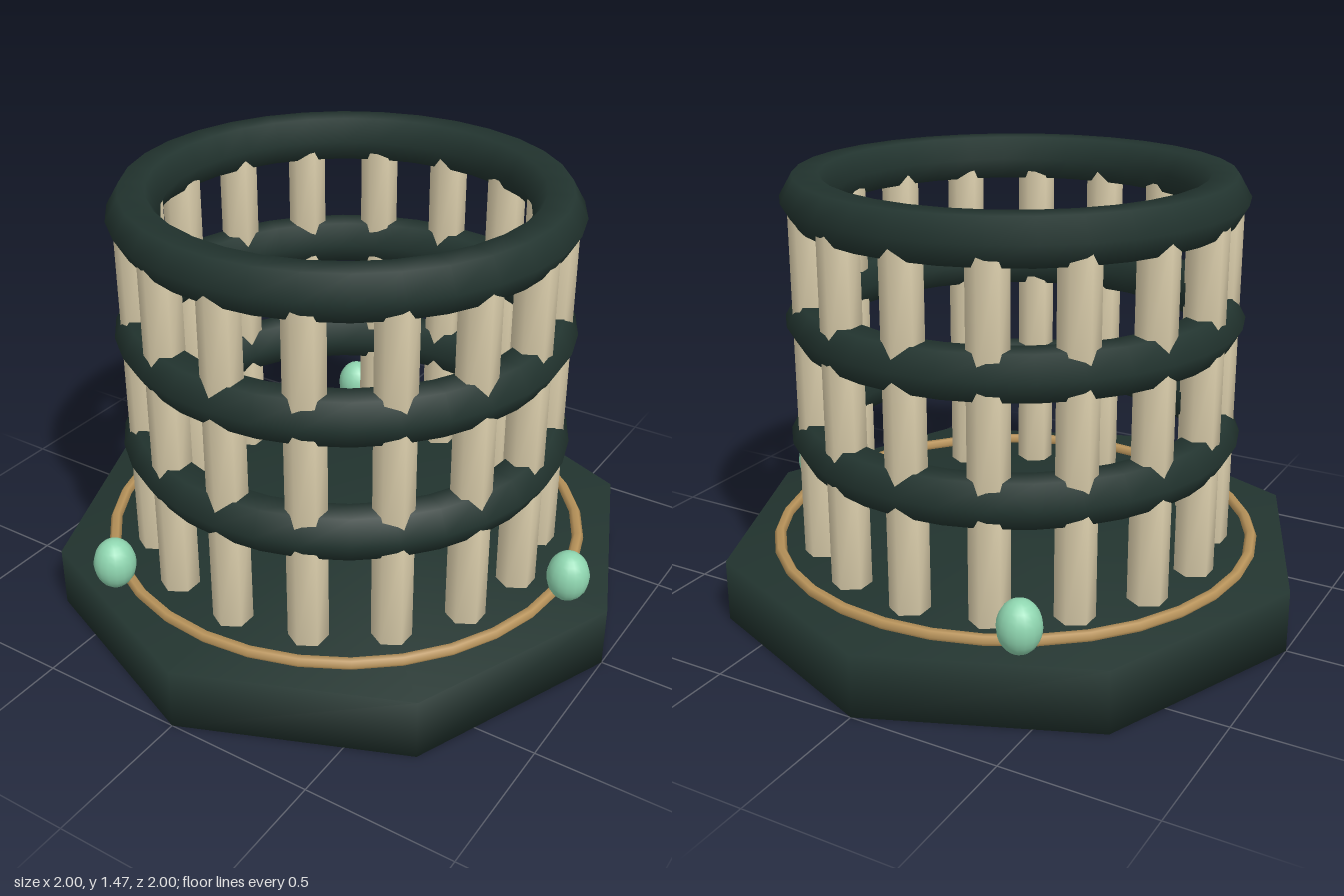
import * as THREE from 'three';
import { mergeVertices } from 'three/addons/utils/BufferGeometryUtils.js';

const RING_RADIUS = 0.67;
const BASE_TOP = 0.212;
const TIER_HEIGHT = 0.396;
const TIERS = 3;
const POSTS = 16;

const paint = (color) => new THREE.MeshStandardMaterial({ color });
const darkGreen = paint(0x22342f);
const ivory = paint(0xd9ccaa);
const gold = paint(0xb8935a);
const jade = paint(0x8fd6b0);

// Prism whose normals are blended across its edges
function softPrism(radius, height, sides) {
  const prism = new THREE.CylinderGeometry(radius, radius, height, sides);
  prism.deleteAttribute('normal');
  prism.deleteAttribute('uv');
  const soft = mergeVertices(prism);
  soft.computeVertexNormals();
  return soft;
}

// Horizontal ring with a six-sided section
function ringGeometry(radius, tube) {
  return new THREE.TorusGeometry(radius, tube, 6, 32).rotateX(Math.PI / 2);
}

function addPart(parent, name, geometry, material, x, y, z) {
  const mesh = new THREE.Mesh(geometry, material);
  mesh.name = name;
  mesh.position.set(x, y, z);
  parent.add(mesh);
  return mesh;
}

export function createModel() {
  const model = new THREE.Group();
  model.name = 'tieredColonnade';

  // Octagonal base with its inlaid gold band
  addPart(model, 'base', softPrism(1, BASE_TOP, 8), darkGreen, 0, BASE_TOP / 2, 0);
  addPart(model, 'goldBand', ringGeometry(0.815, 0.02), gold, 0, 0.223, 0);

  // Each tier is a circle of posts capped by a ring
  const postGeometry = softPrism(0.065, TIER_HEIGHT, 6);
  const tierRing = ringGeometry(RING_RADIUS, 0.085);
  for (let t = 0; t < TIERS; t++) {
    const tier = new THREE.Group();
    tier.name = `tier${t + 1}`;
    tier.position.y = BASE_TOP + t * TIER_HEIGHT;
    model.add(tier);
    for (let i = 0; i < POSTS; i++) {
      const a = (i / POSTS) * Math.PI * 2;
      addPart(tier, 'post', postGeometry, ivory,
        RING_RADIUS * Math.cos(a), TIER_HEIGHT / 2, RING_RADIUS * Math.sin(a));
    }
    addPart(tier, 'tierRing', tierRing, darkGreen, 0, TIER_HEIGHT, 0);
  }

  // Three egg-shaped beads standing on the base
  const beadGeometry = new THREE.SphereGeometry(0.07, 16, 12).scale(1, 1.25, 1);
  for (let i = 0; i < 3; i++) {
    const a = (i / 3) * Math.PI * 2;
    addPart(model, 'bead', beadGeometry, jade, 0.855 * Math.cos(a), 0.295, 0.855 * Math.sin(a));
  }

  return model;
}
